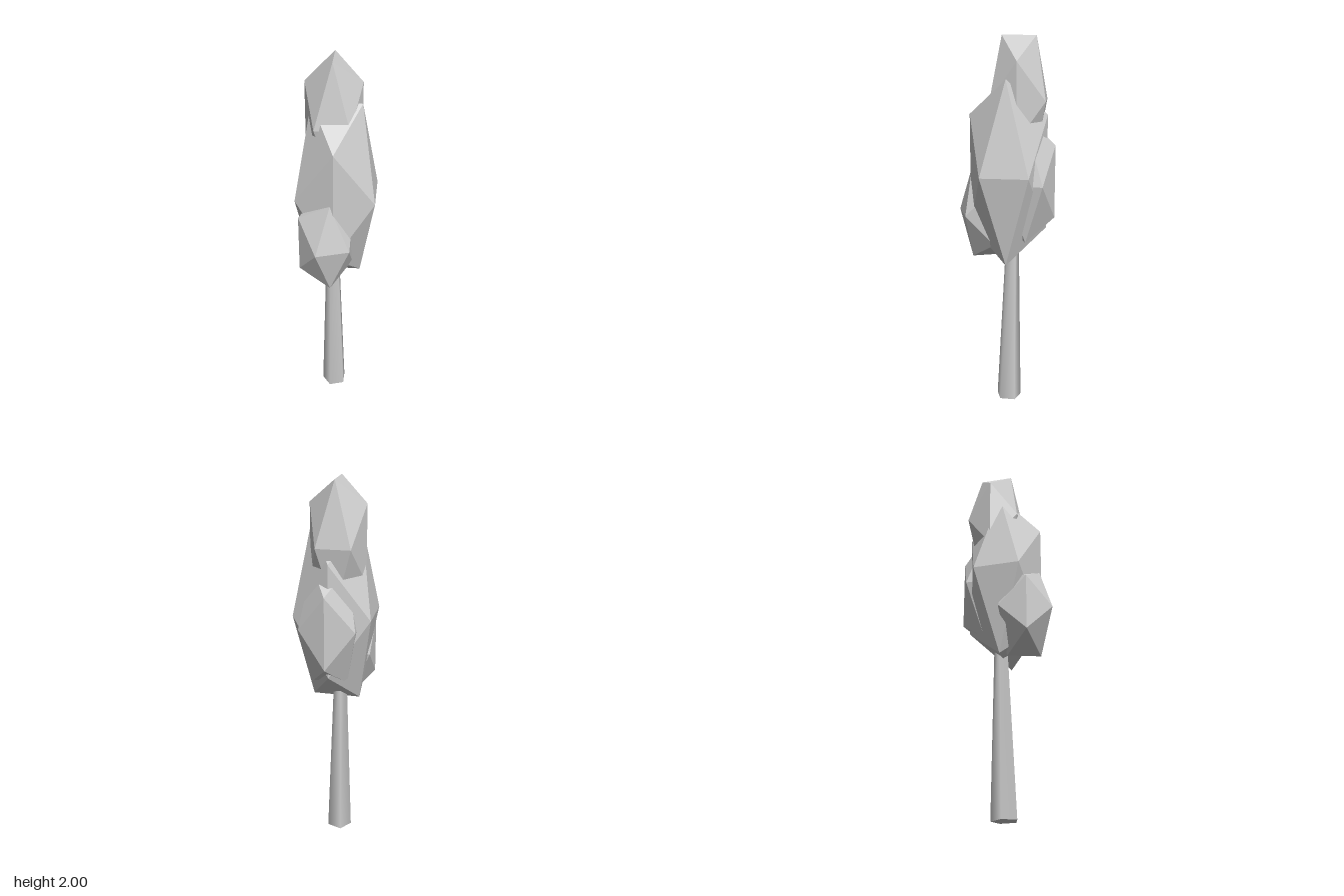
import * as THREE from 'three';

export function createModel() {
  const tree = new THREE.Group();
  tree.name = 'tree';
  const grey = new THREE.MeshStandardMaterial({ color: 0xcccccc });
  grey.name = 'light grey';

  // Trunk: smooth five-sided taper, leaning slightly back, its top inside the crown
  const height = 1.1;
  const trunkShape = new THREE.CylinderGeometry(0.03, 0.07, height, 5, 1, false, THREE.MathUtils.degToRad(148));
  trunkShape.translate(0, height / 2, 0);
  const trunk = new THREE.Mesh(trunkShape, grey);
  trunk.name = 'trunk';
  trunk.position.set(-0.004, 0.0015, -0.01);
  trunk.rotation.set(-0.02, 0, -0.009);
  tree.add(trunk);

  // Foliage: faceted clumps stretched upward, each turned so its top ridge runs along (ridgeX, ridgeZ)
  function clump(name, centre, radius, halfHeight, ridgeX, ridgeZ) {
    const geometry = new THREE.IcosahedronGeometry(1, 0);
    const mesh = new THREE.Mesh(geometry, grey);
    mesh.name = name;
    mesh.position.set(...centre);
    mesh.scale.set(radius, halfHeight / 0.8507, radius); // unit solid reaches 0.8507 high
    mesh.rotation.y = Math.atan2(-ridgeZ, ridgeX);
    tree.add(mesh);
  }
  clump('mainFoliage', [0.005, 1.31, 0], 0.2375, 0.48, 0.645, 0.764);
  clump('topFoliage', [0.031, 1.68, -0.048], 0.167, 0.32, 0.748, -0.663);
  clump('rightFoliage', [-0.111, 1.08, 0.037], 0.168, 0.248, -0.51, 0.86);
  clump('leftFoliage', [0.088, 1.262, -0.054], 0.172, 0.31, 0.66, 0.752);

  return tree;
}
